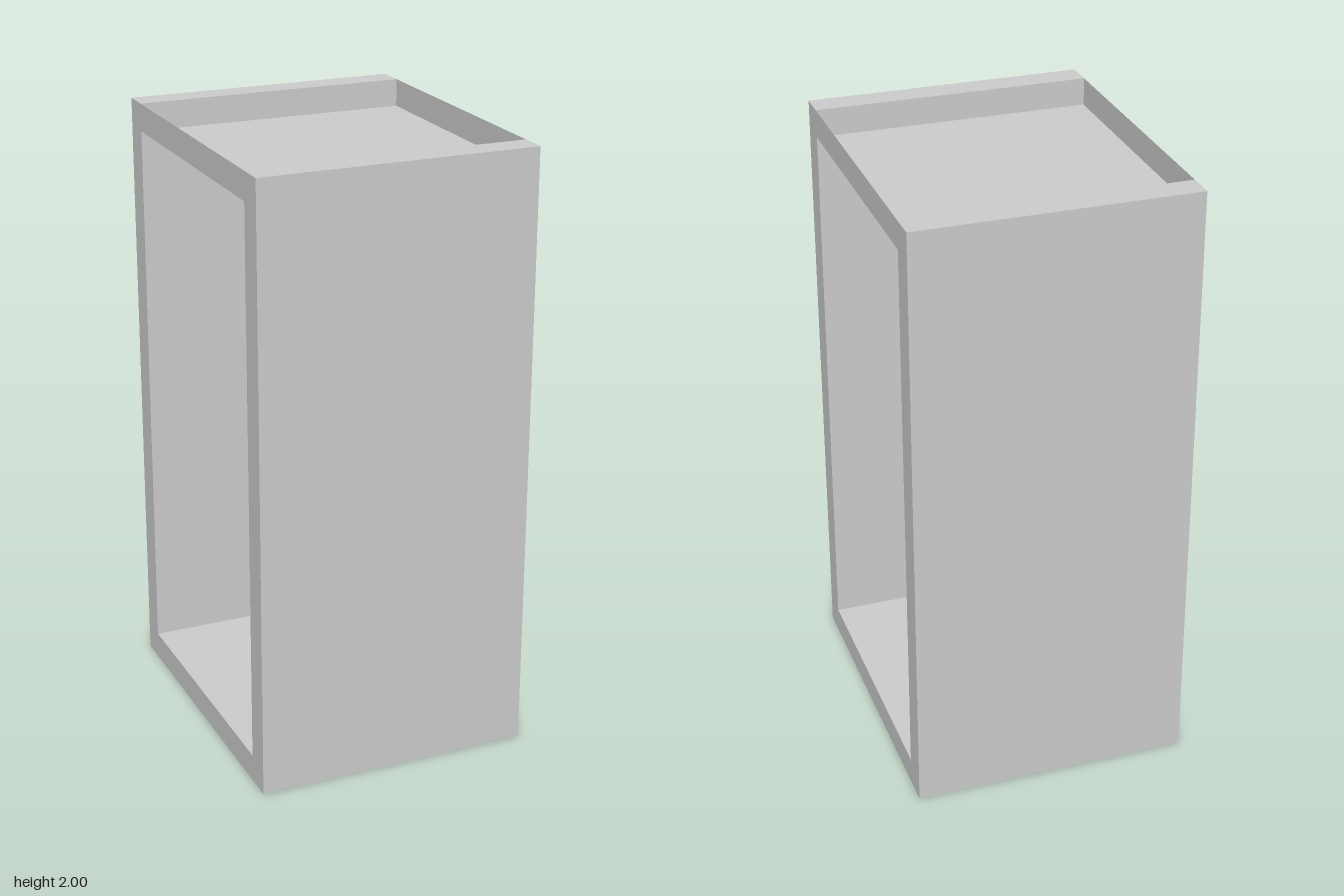
import * as THREE from 'three';

const T = 1 / 11;        // frame thickness
const W = 10 * T;        // width across x
const H = 2;             // height
const INNER = 10 * T;    // clear depth between the walls

export function createModel() {
  const group = new THREE.Group();
  const material = new THREE.MeshStandardMaterial({
    color: 0xcccccc, side: THREE.DoubleSide, flatShading: true,
  });

  const add = (name, geometry, x, y, z) => {
    const mesh = new THREE.Mesh(geometry, material);
    mesh.name = name;
    mesh.position.set(x, y, z);
    group.add(mesh);
  };

  // Hollow wall: a box whose underside is left open
  const hollowWall = () => {
    const geometry = new THREE.BoxGeometry(W, H, T);
    const index = Array.from(geometry.index.array);
    index.splice(18, 6);
    geometry.setIndex(index);
    geometry.clearGroups();
    return geometry;
  };

  // Front and back walls
  for (const [name, s] of [['frontWall', 1], ['backWall', -1]]) {
    add(name, hollowWall(), 0, H / 2, s * (INNER + T) / 2);
  }

  // Floor and ceiling sheets, each set one thickness in from the end
  add('floorSheet', new THREE.PlaneGeometry(W, INNER).rotateX(-Math.PI / 2), 0, T, 0);
  add('ceilingSheet', new THREE.PlaneGeometry(W, INNER).rotateX(-Math.PI / 2), 0, H - T, 0);

  // Thin rails closing the frame on the two open sides
  for (const [side, s] of [['left', 1], ['right', -1]]) {
    for (const [level, y] of [['Lower', T / 2], ['Upper', H - T / 2]]) {
      add(side + level + 'Rail',
        new THREE.PlaneGeometry(INNER, T).rotateY(s * Math.PI / 2), s * W / 2, y, 0);
    }
  }

  return group;
}
